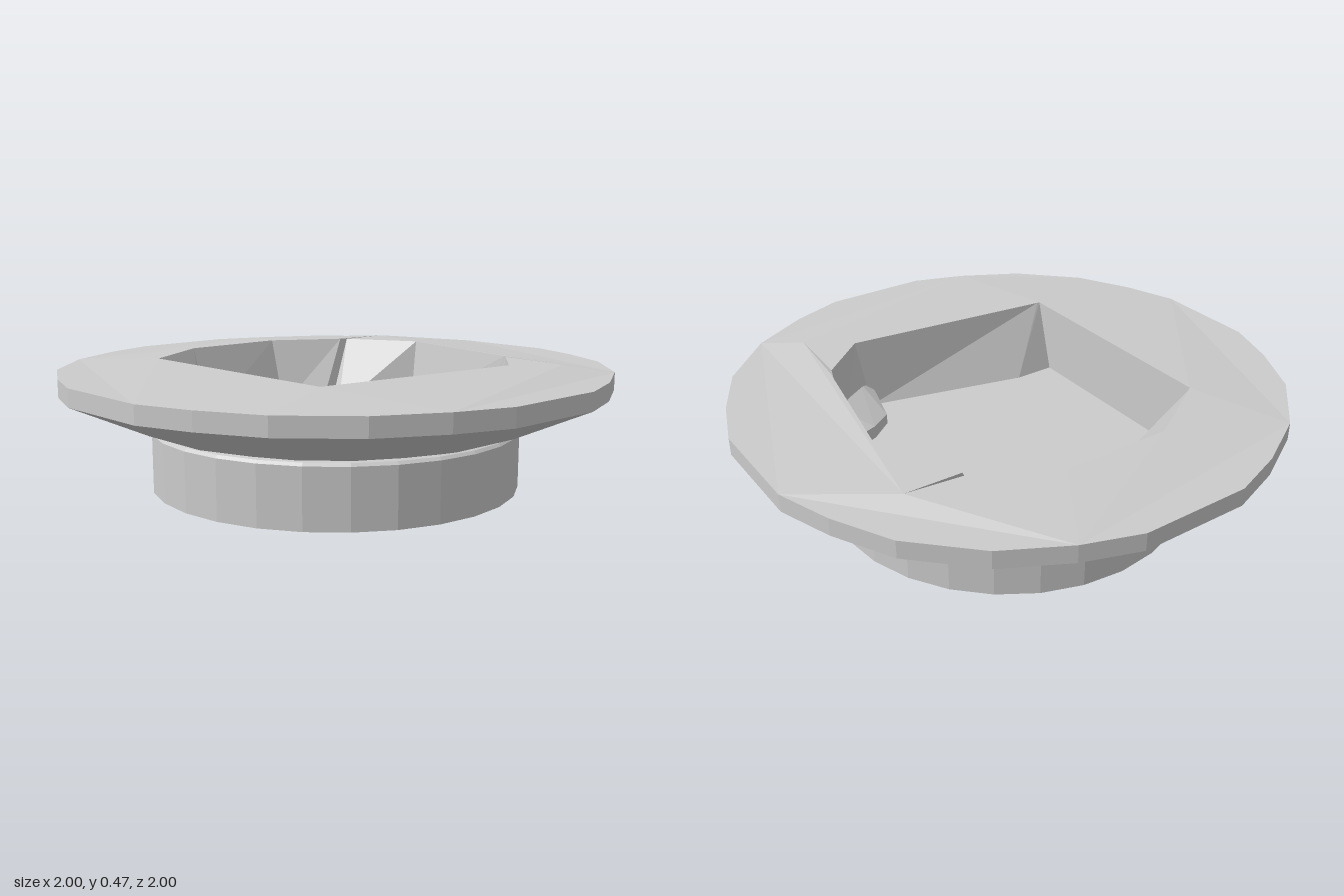
import * as THREE from 'three';
import { ConvexGeometry } from 'three/addons/geometries/ConvexGeometry.js';

const stone = new THREE.MeshStandardMaterial({ color: 0xcccccc, flatShading: true });

// Skin a stack of closed rings, each a list of [x, y, z]
function loft(rings) {
  const pos = [];
  for (let k = 0; k + 1 < rings.length; k++) {
    const n = rings[k].length;
    for (let i = 0; i < n; i++) {
      const j = (i + 1) % n;
      const a = rings[k][i], b = rings[k][j], c = rings[k + 1][i], d = rings[k + 1][j];
      pos.push(...a, ...c, ...b, ...b, ...c, ...d);
    }
  }
  const g = new THREE.BufferGeometry();
  g.setAttribute('position', new THREE.Float32BufferAttribute(pos, 3));
  g.computeVertexNormals();
  return g;
}

// Horizontal sheet facing up, with an optional hole; points are [x, z]
function sheet(outer, hole) {
  const to2 = (pts) => pts.map(([x, z]) => new THREE.Vector2(x, -z));
  const shape = new THREE.Shape(to2(outer));
  if (hole) shape.holes.push(new THREE.Path(to2(hole)));
  return new THREE.ShapeGeometry(shape).rotateX(-Math.PI / 2);
}

export function createModel() {
  const model = new THREE.Group();
  const add = (name, geometry) => {
    const mesh = new THREE.Mesh(geometry, stone);
    mesh.name = name;
    model.add(mesh);
  };

  // Faceted rim outline: one quadrant, turned and mirrored around
  const quarter = [[1, 0.2], [0.93, 0.4], [0.82, 0.61], [0.62, 0.81], [0.4, 0.93], [0.2, 1]];
  const back = [...quarter].reverse();
  const outline = [
    ...quarter,
    ...back.map(([x, z]) => [-x, z]),
    ...quarter.map(([x, z]) => [-x, -z]),
    ...back.map(([x, z]) => [x, -z]),
  ];
  const ring = (scale, y) => outline.map(([x, z]) => [x * scale, y, z * scale]);

  // Round foot, using the angles of a regular polygon
  const circle = (r, y) => Array.from({ length: 28 }, (_, i) => {
    const a = (i / 28) * Math.PI * 2;
    return [r * Math.cos(a), y, r * Math.sin(a)];
  });
  add('foot', loft([circle(0, 0), circle(0.69, 0), circle(0.69, 0.215), circle(0.68, 0.225), circle(0.64, 0.235)]));

  // Flared underside and upright rim band
  add('flaredRim', loft([ring(0.64, 0.225), ring(0.73, 0.25), ring(1, 0.375), ring(1, 0.44)]));

  // Hollow: [top x, top z, floor x, floor z]; the two long points are cracks
  const hollow = [
    [-0.48, -0.46, -0.48, -0.32],
    [-0.465, -0.469, -0.38, -0.31],
    [-0.2, -0.63, -0.2, -0.535],
    [0.21, -0.63, 0.2, -0.545],
    [0.47, -0.475, 0.33, -0.44],
    [0.7, -0.45, 0.345, -0.4],
    [0.49, -0.455, 0.34, -0.35],
    [0.64, -0.18, 0.59, -0.16],
    [0.53, 0.38, 0.53, 0.25],
    [0.5, 0.67, 0.515, 0.3],
    [0.515, 0.4, 0.49, 0.38],
    [0.34, 0.55, 0.3, 0.52],
    [-0.47, 0.451, -0.32, 0.37],
    [-0.48, 0.45, -0.48, 0.37],
  ];
  const lip = hollow.map(([x, z]) => [x, z]);
  const foot = hollow.map(([, , x, z]) => [x, z]);
  const topY = 0.465, floorY = 0.19;

  // Top surface rises gently from the rim to the hollow
  const top = sheet(outline, lip);
  const p = top.attributes.position;
  for (let i = 0; i < p.count; i++) {
    p.setY(i, Math.hypot(p.getX(i), p.getZ(i)) > 0.95 ? 0.44 : topY);
  }
  top.computeVertexNormals();
  add('topSurface', top);

  add('hollowWalls', loft([
    lip.map(([x, z]) => [x, topY, z]),
    foot.map(([x, z]) => [x, floorY, z]),
  ]));
  add('hollowFloor', sheet(foot).translate(0, floorY, 0));

  // Sloping broken ledge in the front corner of the hollow
  const ledge = [
    [0.53, 0.24, 0.25], [0.41, 0.24, 0.29], [0.32, 0.23, 0.36],
    [0.29, 0.26, 0.51], [0.34, 0.3, 0.54], [0.52, 0.31, 0.39],
  ].flatMap(([x, y, z]) => [new THREE.Vector3(x, y, z), new THREE.Vector3(x, floorY - 0.01, z)]);
  add('brokenLedge', new ConvexGeometry(ledge));

  return model;
}
